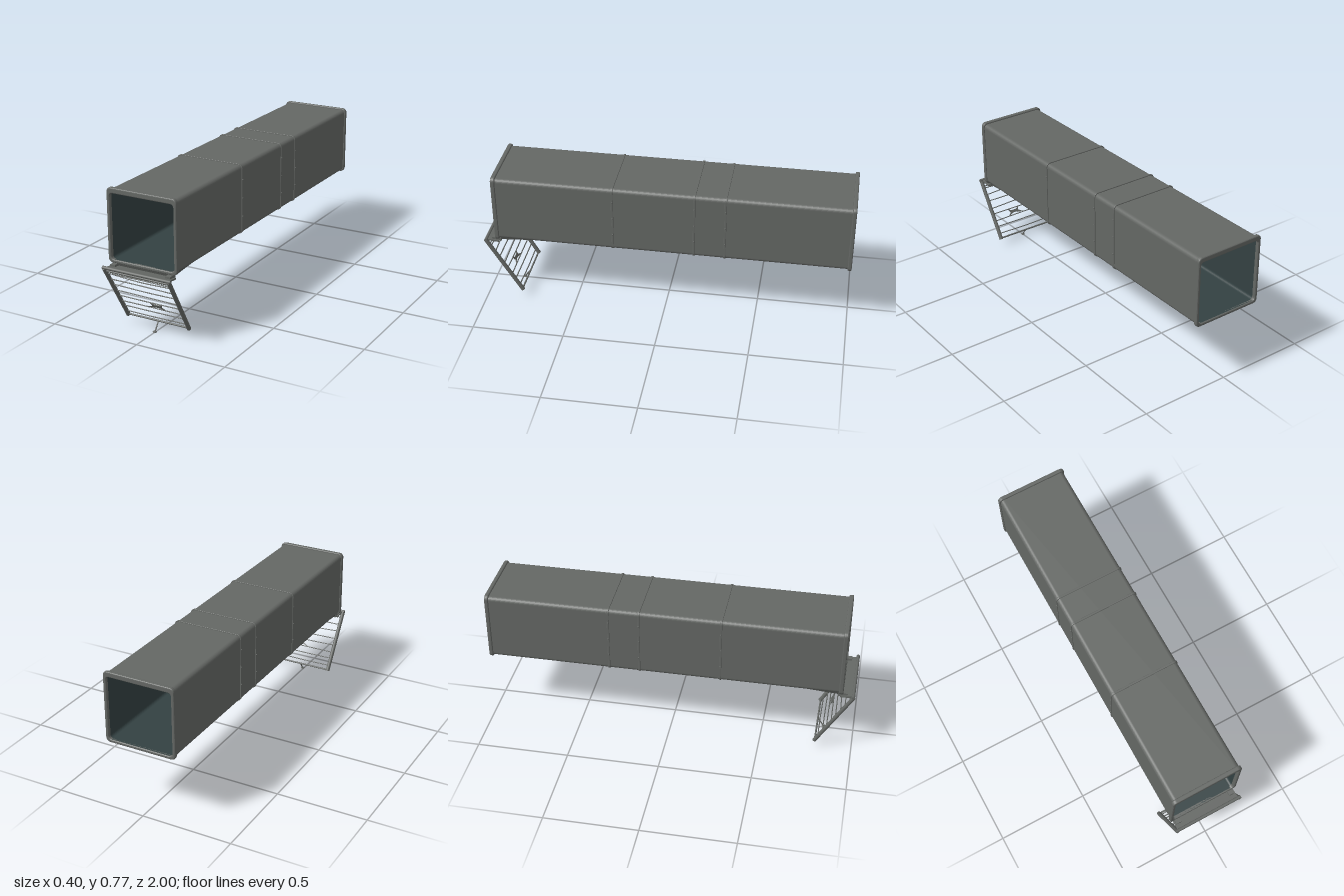
import * as THREE from 'three';

const metal = new THREE.MeshStandardMaterial({ color: 0x646764 });
metal.name = 'grey metal';
const lining = new THREE.MeshStandardMaterial({ color: 0x334142 });
lining.name = 'dark teal lining';
const shadowMetal = new THREE.MeshStandardMaterial({ color: 0x4a4d4a });
shadowMetal.name = 'dark grey metal';

// Traces a rounded rectangle onto a Shape or Path
function roundRect(target, w, y0, y1, r) {
  target.moveTo(-w + r, y0);
  target.lineTo(w - r, y0);
  target.absarc(w - r, y0 + r, r, -Math.PI / 2, 0, false);
  target.absarc(w - r, y1 - r, r, 0, Math.PI / 2, false);
  target.absarc(-w + r, y1 - r, r, Math.PI / 2, Math.PI, false);
  target.absarc(-w + r, y0 + r, r, Math.PI, Math.PI * 1.5, false);
  return target;
}

function add(parent, name, geometry, material = metal, x = 0, y = 0, z = 0) {
  const mesh = new THREE.Mesh(geometry, material);
  mesh.name = name;
  mesh.position.set(x, y, z);
  parent.add(mesh);
  return mesh;
}

// Rectangular sleeve along z; outer and inner are [halfWidth, bottom, top, radius]
function sleeve(parent, name, outer, inner, z0, z1, material, bevel = 0) {
  const shape = roundRect(new THREE.Shape(), ...outer);
  shape.holes.push(roundRect(new THREE.Path(), ...inner));
  const geometry = new THREE.ExtrudeGeometry(shape, {
    depth: z1 - z0 - 2 * bevel, curveSegments: 6, bevelEnabled: bevel > 0,
    bevelThickness: bevel, bevelSize: bevel, bevelOffset: -bevel, bevelSegments: 3,
  });
  return add(parent, name, geometry, material, 0, 0, z0 + bevel);
}

// Round bar between two points
function bar(parent, name, a, b, radius, material = metal) {
  const from = new THREE.Vector3(...a), to = new THREE.Vector3(...b);
  const dir = to.clone().sub(from);
  const mesh = add(parent, name, new THREE.CylinderGeometry(radius, radius, dir.length(), 10), material);
  mesh.position.copy(from).addScaledVector(dir, 0.5);
  mesh.quaternion.setFromUnitVectors(new THREE.Vector3(0, 1, 0), dir.normalize());
  return mesh;
}

function createDuct(model) {
  const duct = new THREE.Group();
  duct.name = 'duct';
  model.add(duct);
  const outer = [0.192, 0.384, 0.758, 0.022];
  const middle = [0.187, 0.389, 0.752, 0.019];
  sleeve(duct, 'ductShell', outer, middle, -0.995, 0.925, metal);
  sleeve(duct, 'ductLining', middle, [0.183, 0.394, 0.745, 0.016], -0.994, 0.924, lining);

  // Rolled rims at both open ends
  for (const [name, z0, z1] of [['frontRim', 0.908, 0.932], ['backRim', -1, -0.978]]) {
    sleeve(duct, name, [0.199, 0.377, 0.767, 0.024], [0.182, 0.394, 0.738, 0.016], z0, z1, metal, 0.006);
  }

  // Seam bands with rivets
  for (const z of [0.276, -0.162, -0.327]) {
    sleeve(duct, 'seamBand', [0.196, 0.381, 0.763, 0.024], [0.19, 0.386, 0.755, 0.02], z - 0.006, z + 0.006, metal, 0.002);
    for (const side of [-1, 1]) {
      for (const y of [0.48, 0.58, 0.68]) {
        add(duct, 'rivet', new THREE.SphereGeometry(0.004, 8, 6), metal, side * 0.196, y, z);
      }
    }
  }

  // Small catch under the middle seam
  const latch = add(duct, 'bottomCatch', new THREE.SphereGeometry(0.014, 10, 8), metal, 0, 0.38, -0.172);
  latch.scale.set(1.6, 0.7, 1.2);
}

function createHinge(model) {
  const hinge = new THREE.Group();
  hinge.name = 'hinge';
  model.add(hinge);
  // Tapered tongue under the front lip: profile in (z, y), extruded across x
  const profile = new THREE.Shape([[0.925, 0.385], [0.925, 0.366], [0.88, 0.368], [0.7, 0.381], [0.7, 0.385]]
    .map(([z, y]) => new THREE.Vector2(-z, y)));
  const tongue = new THREE.ExtrudeGeometry(profile, { depth: 0.34, bevelEnabled: false });
  tongue.translate(0, 0, -0.17).rotateY(Math.PI / 2);
  add(hinge, 'hingeTongue', tongue, shadowMetal);
  // Sloping plate that joins the duct lip to the grate
  const plate = add(hinge, 'hingePlate', new THREE.BoxGeometry(0.365, 0.009, 0.07), metal, 0, 0.362, 0.952);
  plate.rotation.x = -0.1;
  bar(hinge, 'hingePin', [-0.197, 0.367, 0.986], [0.197, 0.367, 0.986], 0.009);
  for (const side of [-1, 1]) {
    add(hinge, 'hingeKnuckle', new THREE.BoxGeometry(0.028, 0.02, 0.05), metal, side * 0.16, 0.367, 0.93);
  }
}

function createGrate(model) {
  // Hangs from the hinge pin, leaning back under the duct
  const grate = new THREE.Group();
  grate.name = 'grate';
  grate.position.set(0, 0.365, 0.988);
  grate.rotation.x = 0.535;
  model.add(grate);
  const drop = (y) => (y - 0.365) / 0.86;

  for (const side of [-1, 1]) {
    bar(grate, 'sideRail', [side * 0.187, 0, 0], [side * 0.181, drop(0.046), 0], 0.011);
  }
  bar(grate, 'bottomRail', [-0.185, drop(0.052), 0], [0.185, drop(0.052), 0], 0.005);
  bar(grate, 'topRail', [-0.185, drop(0.35), 0], [0.185, drop(0.35), 0], 0.006);

  // Slightly bowed cross bars: left, middle and right heights
  const slats = [[0.335, 0.319, 0.323], [0.334, 0.336, 0.333], [0.295, 0.293, 0.287], [0.26, 0.253, 0.253],
    [0.219, 0.216, 0.211], [0.184, 0.181, 0.182], [0.146, 0.146, 0.144], [0.114, 0.113, 0.114], [0.076, 0.074, 0.077]];
  for (const heights of slats) {
    const curve = new THREE.CatmullRomCurve3(heights.map((y, i) => new THREE.Vector3((i - 1) * 0.177, drop(y), 0)));
    add(grate, 'crossBar', new THREE.TubeGeometry(curve, 12, 0.0032, 6), metal);
  }

  // Bent web between two of the bars
  const web = new THREE.Shape([[-0.02, 0.147], [0.02, 0.152], [0.005, 0.181], [0.025, 0.171], [0.06, 0.172],
    [0.076, 0.181], [0.065, 0.16], [0.085, 0.144], [0.05, 0.157], [0.03, 0.157]]
    .map(([x, y]) => new THREE.Vector2(x, drop(y))));
  const webGeometry = new THREE.ExtrudeGeometry(web, { depth: 0.005, bevelEnabled: false });
  add(grate, 'centreWeb', webGeometry, metal, 0, 0, -0.0025);
}

function createPull(model) {
  // Pull stem and foot below the grate
  const pull = new THREE.Group();
  pull.name = 'pull';
  model.add(pull);
  bar(pull, 'pullStem', [0.004, 0.05, 0.806], [0.003, 0.008, 0.836], 0.0035);
  const foot = add(pull, 'pullFoot', new THREE.SphereGeometry(0.011, 12, 8), metal, 0.003, 0.005, 0.838);
  foot.scale.set(1, 0.45, 1);
}

export function createModel() {
  const model = new THREE.Group();
  model.name = 'ductWithHingedGrate';
  createDuct(model);
  createHinge(model);
  createGrate(model);
  createPull(model);
  return model;
}
